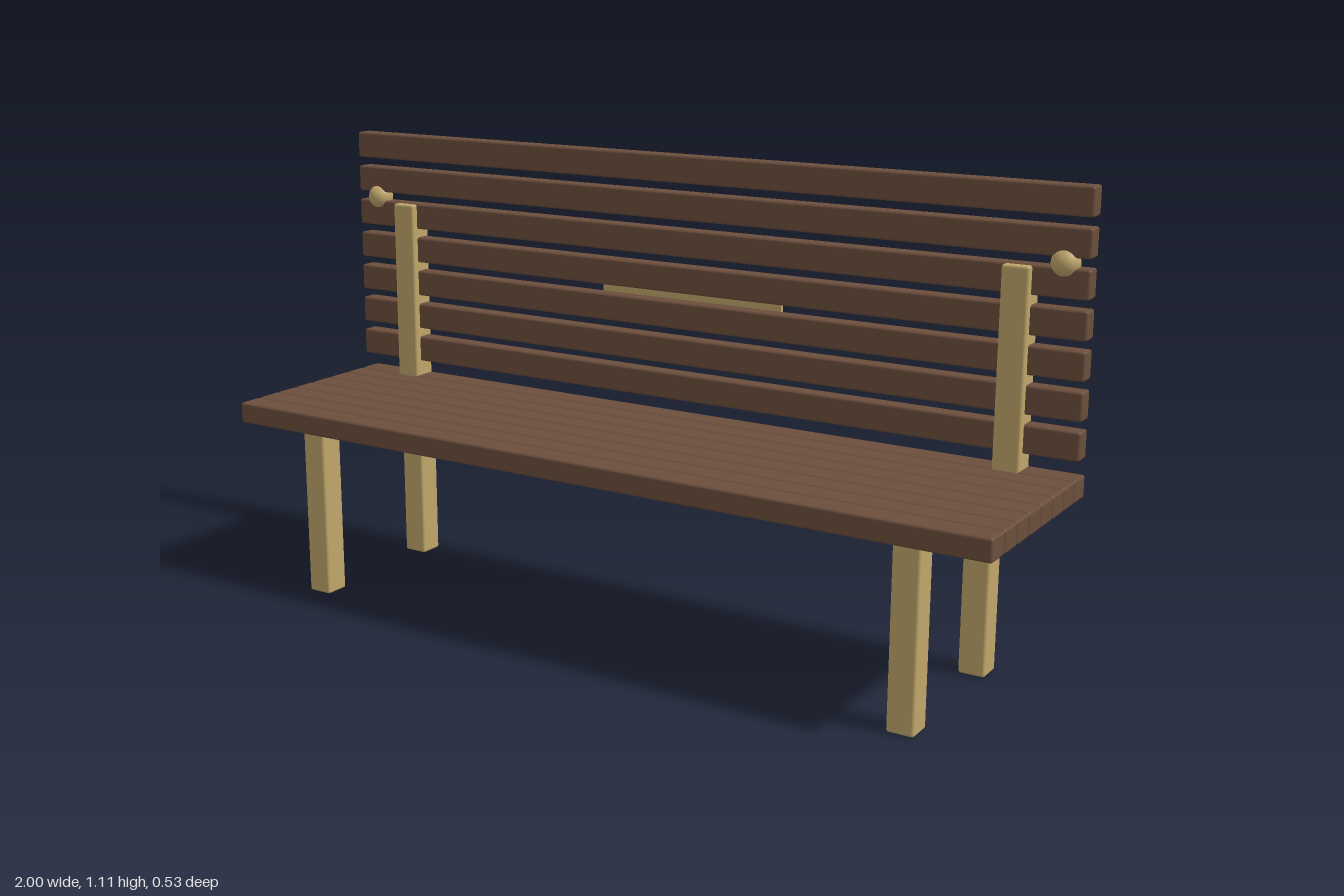
import * as THREE from 'three';
import { RoundedBoxGeometry } from 'three/addons/geometries/RoundedBoxGeometry.js';

export function createModel() {
  const bench = new THREE.Group();
  bench.name = 'bench';

  const darkWood = new THREE.MeshStandardMaterial({ color: 0x6b4e3d });
  darkWood.name = 'dark wood';
  const paleWood = new THREE.MeshStandardMaterial({ color: 0xbfa56a });
  paleWood.name = 'pale wood';

  function add(name, geometry, material, x, y, z) {
    const mesh = new THREE.Mesh(geometry, material);
    mesh.name = name;
    mesh.position.set(x, y, z);
    bench.add(mesh);
  }
  const beam = (w, h, d) => new RoundedBoxGeometry(w, h, d, 2, 0.006);

  // Seat: eight planks side by side
  const seatPlank = beam(2, 0.052, 0.065);
  for (let i = 0; i < 8; i++) {
    add('seatPlank', seatPlank, darkWood, 0, 0.451, 0.2305 - i * 0.0659);
  }

  // Backrest: seven spaced slats
  const backSlat = beam(2, 0.066, 0.043);
  for (let i = 0; i < 7; i++) {
    add('backSlat', backSlat, darkWood, 0, 0.548 + i * 0.0882, -0.2375);
  }

  // Legs, back posts and round knobs, mirrored left and right
  const leg = beam(0.064, 0.428, 0.063);
  const post = beam(0.064, 0.508, 0.063);
  const knob = new THREE.SphereGeometry(0.032, 24, 16);
  for (const side of [-1, 1]) {
    add('frontLeg', leg, paleWood, side * 0.8, 0.214, 0.19);
    add('backLeg', leg, paleWood, side * 0.8, 0.214, -0.19);
    add('backPost', post, paleWood, side * 0.84, 0.678, -0.2305);
    add('knob', knob, paleWood, side * 0.94, 0.943, -0.231);
  }

  // Plain plate fixed across the rear of two slats
  add('rearPlate', new THREE.BoxGeometry(0.5, 0.066, 0.009), paleWood, 0, 0.768, -0.2575);

  return bench;
}
